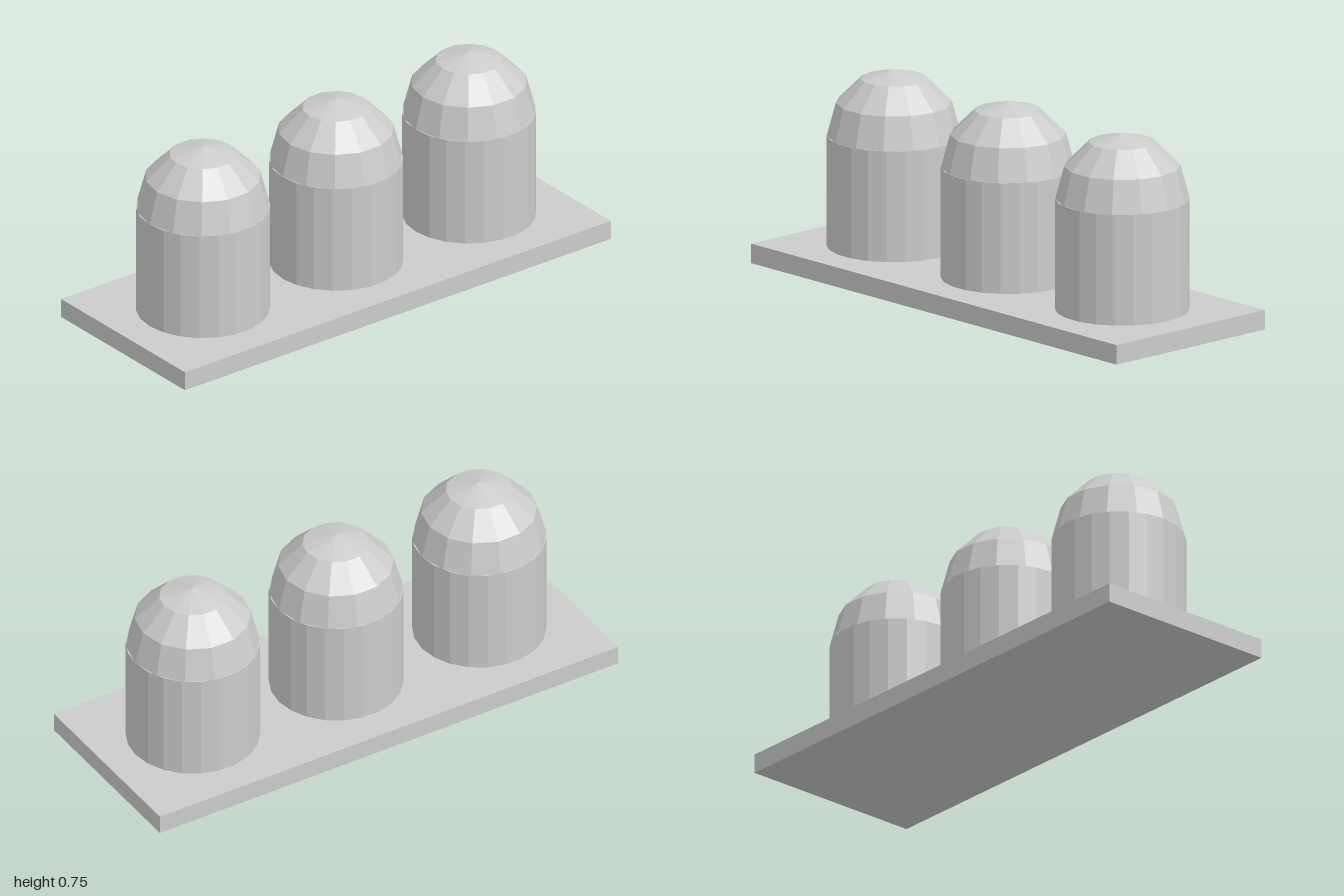
import * as THREE from 'three';

export function createModel() {
  const model = new THREE.Group();
  const material = new THREE.MeshStandardMaterial({ color: 0xcccccc, flatShading: true });

  const add = (parent, name, geometry, y) => {
    const mesh = new THREE.Mesh(geometry, material);
    mesh.name = name;
    mesh.position.y = y;
    parent.add(mesh);
  };

  const baseHeight = 0.075, radius = 0.25, shoulder = 0.5;

  // Flat rectangular base
  add(model, 'basePlate', new THREE.BoxGeometry(2, baseHeight, 0.75), baseHeight / 2);

  // Column with a corner on the x axis, and a coarser faceted half-sphere cap
  const columnHeight = shoulder - baseHeight;
  const column = new THREE.CylinderGeometry(radius, radius, columnHeight, 22).rotateY(Math.PI / 2);
  const dome = new THREE.SphereGeometry(radius, 14, 3, 0, Math.PI * 2, 0, Math.PI / 2);

  // Three domed posts in a row
  ['rightPost', 'middlePost', 'leftPost'].forEach((name, i) => {
    const post = new THREE.Group();
    post.name = name;
    post.position.x = (i - 1) * 0.625;
    add(post, 'column', column, baseHeight + columnHeight / 2);
    add(post, 'dome', dome, shoulder);
    model.add(post);
  });

  return model;
}
